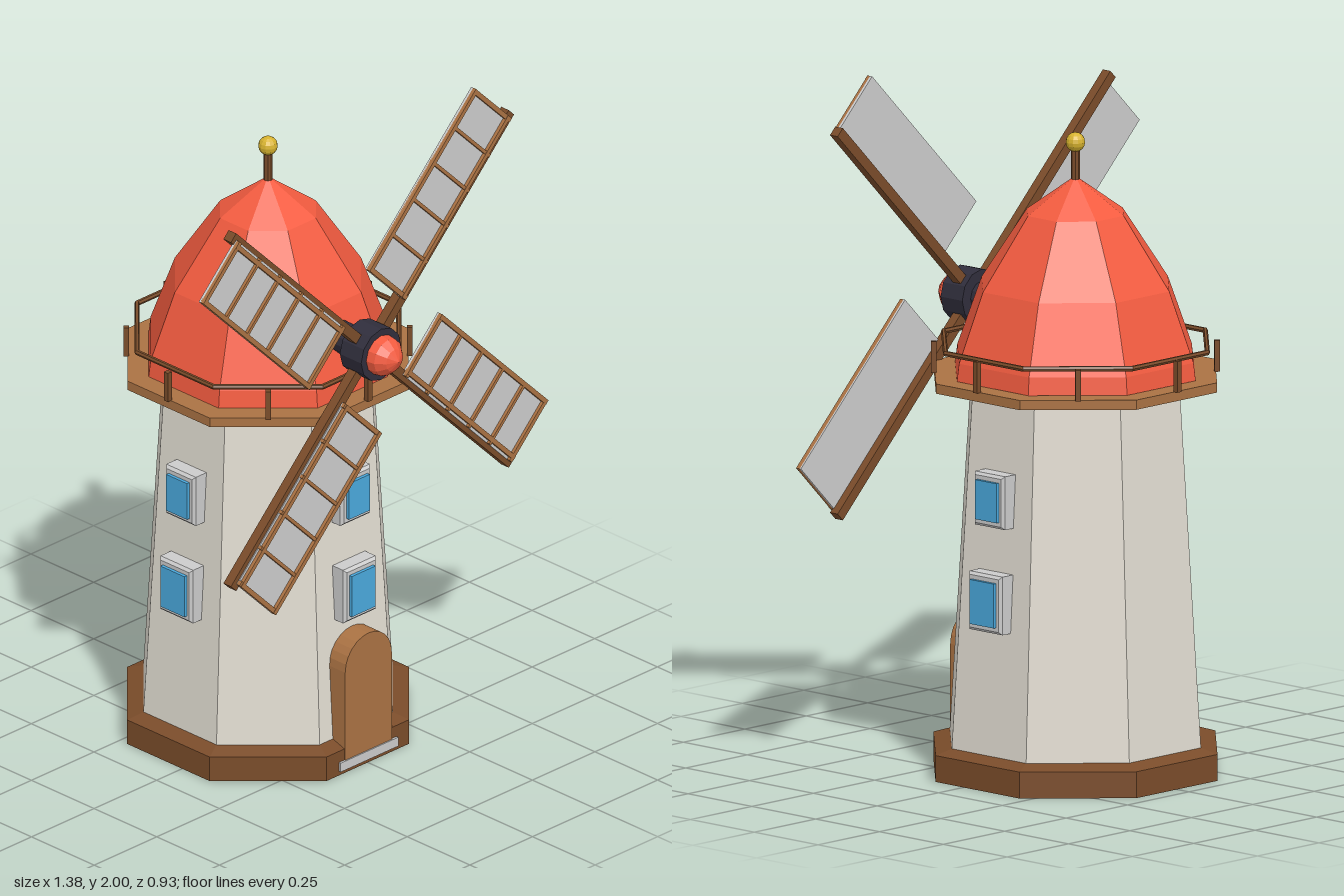
import * as THREE from 'three';

const CZ = -0.055; // tower axis
const K = 1 / Math.cos(Math.PI / 8); // apothem to corner radius of an octagon

const mat = (color, extra = {}) => new THREE.MeshStandardMaterial({ color, flatShading: true, ...extra });
const both = { side: THREE.DoubleSide };
const M = {
  wall: mat(0xe2ddd2, both),
  wood: mat(0x7a4c2a, both),
  lightWood: mat(0xaa7243),
  red: mat(0xf45c40, both),
  iron: mat(0x302e3c),
  glass: mat(0x4aa8dc),
  gold: mat(0xd6b22e),
  grey: mat(0xcccccc),
};

function add(parent, name, geometry, material, x = 0, y = 0, z = 0) {
  const mesh = new THREE.Mesh(geometry, material);
  mesh.name = name;
  mesh.position.set(x, y, z);
  parent.add(mesh);
  return mesh;
}

const box = (w, h, d) => new THREE.BoxGeometry(w, h, d);

// Octagonal shell with flats facing the axes; profile is [apothem, height] pairs
const octagon = (profile) =>
  new THREE.LatheGeometry(profile.map(([a, y]) => new THREE.Vector2(a * K, y)), 8, Math.PI / 8);

function makeWindow(w, h) {
  const g = new THREE.Group();
  g.name = 'window';
  const s = new THREE.Shape();
  const x = w / 2 - 0.008, y = h / 2 - 0.008;
  s.moveTo(-x, -y).lineTo(x, -y).lineTo(x, y).lineTo(-x, y).closePath();
  const frame = new THREE.ExtrudeGeometry(s, {
    depth: 0.042, bevelSize: 0.008, bevelThickness: 0.008, bevelSegments: 1,
  });
  add(g, 'windowFrame', frame, M.grey, 0, 0, -0.05);
  add(g, 'windowPane', box(w - 0.035, h - 0.04, 0.03), M.glass, 0, 0, -0.005);
  return g;
}

function makeSail() {
  const g = new THREE.Group();
  g.name = 'sail';
  const u0 = 0.17, u1 = 0.77, v1 = 0.205, t = 0.014;
  add(g, 'spar', box(0.785, 0.03, 0.03), M.wood, 0.3925, 0, 0.347);
  add(g, 'sailCloth', box(u1 - u0, v1, 0.008), M.grey, (u0 + u1) / 2, v1 / 2, 0.361);
  // lattice in front of the cloth
  for (const v of [0.015, v1 - t / 2]) {
    add(g, 'sailRail', box(u1 - u0, t, 0.014), M.lightWood, (u0 + u1) / 2, v, 0.369);
  }
  for (let i = 0; i <= 5; i++) {
    const u = u0 + t / 2 + (i / 5) * (u1 - u0 - t);
    add(g, 'sailBar', box(i % 5 ? 0.01 : t, v1, 0.012), M.lightWood, u, v1 / 2, 0.369);
  }
  return g;
}

export function createModel() {
  const model = new THREE.Group();
  model.name = 'windmill';

  const tower = new THREE.Group();
  tower.name = 'tower';
  tower.position.z = CZ;
  model.add(tower);

  // Plinth, floor and tapering wall
  add(tower, 'plinth', octagon([[0.365, 0], [0.398, 0], [0.398, 0.076], [0.35, 0.092]]), M.wood);
  add(tower, 'floor', octagon([[0, 0.08], [0.351, 0.08]]), M.wood);
  add(tower, 'wall', octagon([[0.357, 0], [0.292, 1.13]]), M.wall);

  // Gallery with railing
  add(tower, 'gallery', new THREE.CylinderGeometry(0.397 * K, 0.397 * K, 0.028, 8).rotateY(Math.PI / 8),
    M.lightWood, 0, 1.134, 0);
  const rail = new THREE.TorusGeometry(0.4, 0.008, 6, 8).rotateX(Math.PI / 2).rotateY(Math.PI / 8);
  add(tower, 'galleryRail', rail, M.wood, 0, 1.233, 0);
  for (let i = 0; i < 8; i++) {
    const a = (i * Math.PI) / 4;
    const post = add(tower, 'railPost', box(0.016, 0.09, 0.016), M.wood,
      0.4 * Math.sin(a), 1.192, 0.4 * Math.cos(a));
    post.rotation.y = a;
  }

  // Domed roof and finial
  add(tower, 'roof', octagon([[0, 1.149], [0.337, 1.149], [0.331, 1.2], [0.263, 1.4], [0.135, 1.608], [0, 1.713]]), M.red);
  add(tower, 'finialPole', new THREE.CylinderGeometry(0.013, 0.013, 0.12, 8), M.wood, 0, 1.74, 0);
  add(tower, 'finialBall', new THREE.SphereGeometry(0.028, 12, 8), M.gold, 0, 1.81, 0);

  // Two windows on the front and on each side
  for (const a of [-Math.PI / 2, 0, Math.PI / 2]) {
    for (const [w, h, y, r] of [[0.13, 0.168, 0.535, 0.372], [0.118, 0.154, 0.828, 0.355]]) {
      const win = makeWindow(w, h);
      win.position.set(r * Math.sin(a), y, r * Math.cos(a));
      win.rotation.y = a;
      tower.add(win);
    }
  }

  // Arched door and doorstep
  const arch = new THREE.Shape();
  arch.moveTo(-0.093, 0.02).lineTo(0.093, 0.02).lineTo(0.093, 0.318);
  arch.absarc(0, 0.318, 0.093, 0, Math.PI, false);
  arch.closePath();
  add(model, 'door', new THREE.ExtrudeGeometry(arch, { depth: 0.065, bevelEnabled: false, curveSegments: 6 }),
    M.lightWood, 0, 0, 0.281);
  add(model, 'doorstep', box(0.23, 0.028, 0.05), M.grey, 0, 0.027, 0.325);

  // Rotor: shaft, hub, nose cone and four sails
  const rotor = new THREE.Group();
  rotor.name = 'rotor';
  rotor.position.y = 1.31;
  model.add(rotor);
  add(rotor, 'shaft', new THREE.CylinderGeometry(0.046, 0.046, 0.18, 12).rotateX(Math.PI / 2), M.iron, 0, 0, 0.23);
  add(rotor, 'hub', new THREE.CylinderGeometry(0.08, 0.08, 0.085, 12).rotateX(Math.PI / 2), M.iron, 0, 0, 0.354);
  const nose = [[0, 0], [0.06, 0], [0.056, 0.03], [0.034, 0.056], [0, 0.073]];
  add(rotor, 'noseCone', new THREE.LatheGeometry(nose.map(([r, y]) => new THREE.Vector2(r, y)), 12).rotateX(Math.PI / 2),
    M.red, 0, 0, 0.394);
  for (let i = 0; i < 4; i++) {
    const sail = makeSail();
    sail.rotation.z = Math.PI / 4 + (i * Math.PI) / 2;
    rotor.add(sail);
  }

  return model;
}
